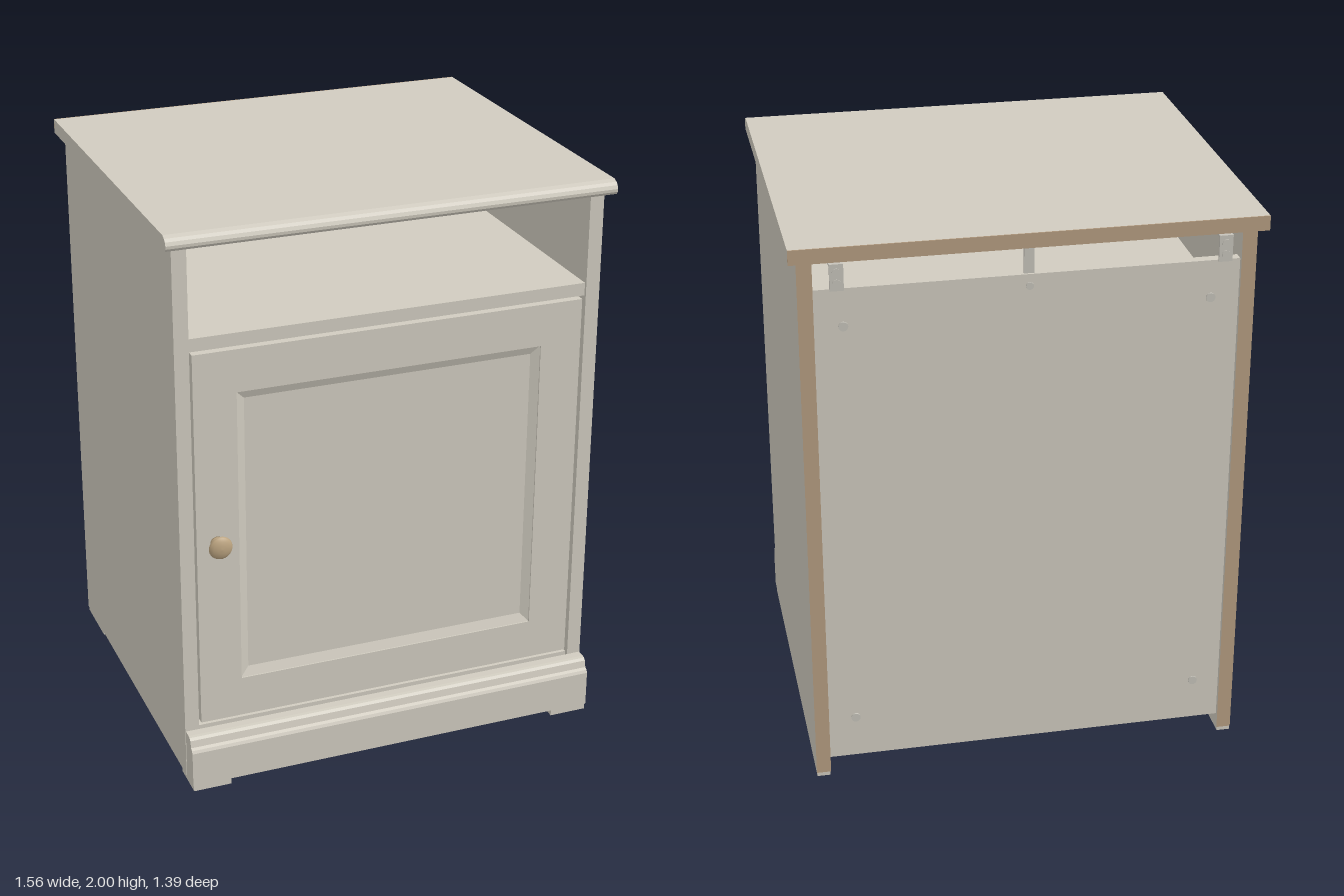
import * as THREE from 'three';

export function createModel() {
  const root = new THREE.Group();
  root.name = 'bedsideCabinet';

  const mat = (name, color) => {
    const m = new THREE.MeshStandardMaterial({ color });
    m.name = name;
    return m;
  };
  const paint = mat('creamPaint', 0xd0cbbf);
  const raw = mat('rawBoard', 0xb59d81);
  const wood = mat('knobWood', 0xbca480);
  const metal = mat('lightMetal', 0xc6c3ba);

  const add = (name, geometry, material) => {
    const mesh = new THREE.Mesh(geometry, material);
    mesh.name = name;
    root.add(mesh);
    return mesh;
  };

  // Box from its limits; rawFaces lists unpainted sides (0..5 = +x -x +y -y +z -z)
  const box = (name, [x0, x1], [y0, y1], [z0, z1], material = paint, rawFaces = []) => {
    const g = new THREE.BoxGeometry(x1 - x0, y1 - y0, z1 - z0);
    g.translate((x0 + x1) / 2, (y0 + y1) / 2, (z0 + z1) / 2);
    const m = rawFaces.length
      ? [0, 1, 2, 3, 4, 5].map((i) => (rawFaces.includes(i) ? raw : material))
      : material;
    return add(name, g, m);
  };
  // Limits mirrored to the given side
  const side = (s, a, b) => (s > 0 ? [a, b] : [-b, -a]);

  // Moulding: a (z, y) profile extruded across the full width
  const moulding = (name, points, halfWidth) => {
    const shape = new THREE.Shape(points.map(([z, y]) => new THREE.Vector2(z, y)));
    const g = new THREE.ExtrudeGeometry(shape, { depth: halfWidth * 2, bevelEnabled: false });
    g.rotateY(-Math.PI / 2);
    g.translate(halfWidth, 0, 0);
    return add(name, g, paint);
  };

  // Small disc-shaped fitting whose axis runs along z
  const disc = (name, x, y, z, r, h) => {
    const g = new THREE.CylinderGeometry(r, r, h, 16);
    g.rotateX(Math.PI / 2);
    g.translate(x, y, z);
    return add(name, g, metal);
  };

  // Top with a rounded front edge and a raw back edge
  moulding('top', [
    [-0.678, 1.95], [0.65, 1.95], [0.658, 1.953], [0.664, 1.962], [0.665, 1.972],
    [0.66, 1.984], [0.651, 1.993], [0.635, 2], [-0.678, 2],
  ], 0.778);
  box('topBackEdge', [-0.778, 0.778], [1.95, 2], [-0.682, -0.678], raw);

  // Carcass
  for (const s of [1, -1]) {
    box('sidePanel', side(s, 0.7, 0.75), [0.025, 1.95], [-0.645, 0.625], paint, [3, 5]);
  }
  box('backPanel', [-0.7, 0.7], [0.075, 1.84], [-0.63, -0.595], paint, [3]);
  box('nicheShelf', [-0.7, 0.7], [1.59, 1.635], [-0.595, 0.615]);
  box('bottomShelf', [-0.7, 0.7], [0.15, 0.205], [-0.595, 0.61]);

  // Plinth with a moulded upper edge
  moulding('plinth', [
    [0.625, 0.022], [0.695, 0.022], [0.695, 0.15], [0.69, 0.16], [0.68, 0.166],
    [0.677, 0.178], [0.674, 0.19], [0.666, 0.198], [0.655, 0.2], [0.625, 0.2],
  ], 0.748);
  box('plinthBack', [-0.7, 0.7], [0.025, 0.15], [0.619, 0.625], raw);

  // Door frame
  const zDoor = [0.57, 0.62];
  for (const s of [1, -1]) box('doorStile', side(s, 0.542, 0.69), [0.22, 1.58], zDoor);
  box('doorTopRail', [-0.542, 0.542], [1.43, 1.58], zDoor);
  box('doorBottomRail', [-0.542, 0.542], [0.22, 0.365], zDoor);
  box('doorPanel', [-0.542, 0.542], [0.365, 1.43], [0.575, 0.602]);

  // Sloped moulding between the frame and the recessed panel
  const corners = (x, y0, y1, z) => [[-x, y0, z], [x, y0, z], [x, y1, z], [-x, y1, z]];
  const outer = corners(0.542, 0.365, 1.43, 0.615);
  const inner = corners(0.512, 0.398, 1.4, 0.603);
  const pos = [];
  for (let i = 0; i < 4; i++) {
    const j = (i + 1) % 4;
    for (const p of [outer[i], outer[j], inner[j], outer[i], inner[j], inner[i]]) pos.push(...p);
  }
  const slope = new THREE.BufferGeometry();
  slope.setAttribute('position', new THREE.Float32BufferAttribute(pos, 3));
  slope.computeVertexNormals();
  add('doorMoulding', slope, paint);

  // Turned knob
  const knobProfile = [
    [0, 0], [0.023, 0], [0.021, 0.005], [0.016, 0.012], [0.017, 0.02], [0.026, 0.028],
    [0.037, 0.033], [0.041, 0.039], [0.038, 0.046], [0.028, 0.052], [0.014, 0.056], [0, 0.057],
  ].map(([r, h]) => new THREE.Vector2(r, h));
  const knob = add('knob', new THREE.LatheGeometry(knobProfile, 32), wood);
  knob.rotation.x = Math.PI / 2;
  knob.position.set(-0.62, 0.9, 0.62);

  // Hinges in the gap beside the door
  for (const y of [0.45, 1.36]) {
    box('hinge', [0.688, 0.7], [y - 0.06, y + 0.06], [0.54, 0.6], metal);
    box('hingeArm', [0.66, 0.7], [y - 0.025, y + 0.025], [0.44, 0.57], metal);
  }

  for (const s of [1, -1]) {
    // Feet: L-shaped at the front, long pads at the back
    box('frontFoot', side(s, 0.61, 0.745), [0, 0.022], [0.625, 0.693]);
    box('frontFootReturn', side(s, 0.7, 0.745), [0, 0.025], [0.56, 0.625]);
    box('rearFoot', side(s, 0.702, 0.748), [0.01, 0.025], [-0.643, -0.43]);

    // Wall brackets below the back edge of the top
    box('wallBracketArm', side(s, 0.607, 0.652), [1.942, 1.95], [-0.63, -0.697], metal).geometry =
      new THREE.BoxGeometry(0.045, 0.008, 0.067).translate(s * 0.63, 1.946, -0.6635);
    box('wallBracket', side(s, 0.607, 0.652), [1.86, 1.948], [-0.697, -0.689], metal);
    disc('bracketScrew', s * 0.63, 1.922, -0.693, 0.014, 0.014);
    disc('bracketScrew', s * 0.63, 1.885, -0.693, 0.014, 0.014);

    // Fasteners on the back panel
    for (const y of [0.23, 1.71]) disc('backFastener', s * 0.605, y, -0.631, 0.016, 0.008);
  }

  // Centre strap joining the back panel to the top
  box('centreStrap', [-0.017, 0.017], [1.838, 1.95], [-0.622, -0.612], metal);
  disc('strapScrew', 0, 1.8, -0.6125, 0.013, 0.045);

  return root;
}
